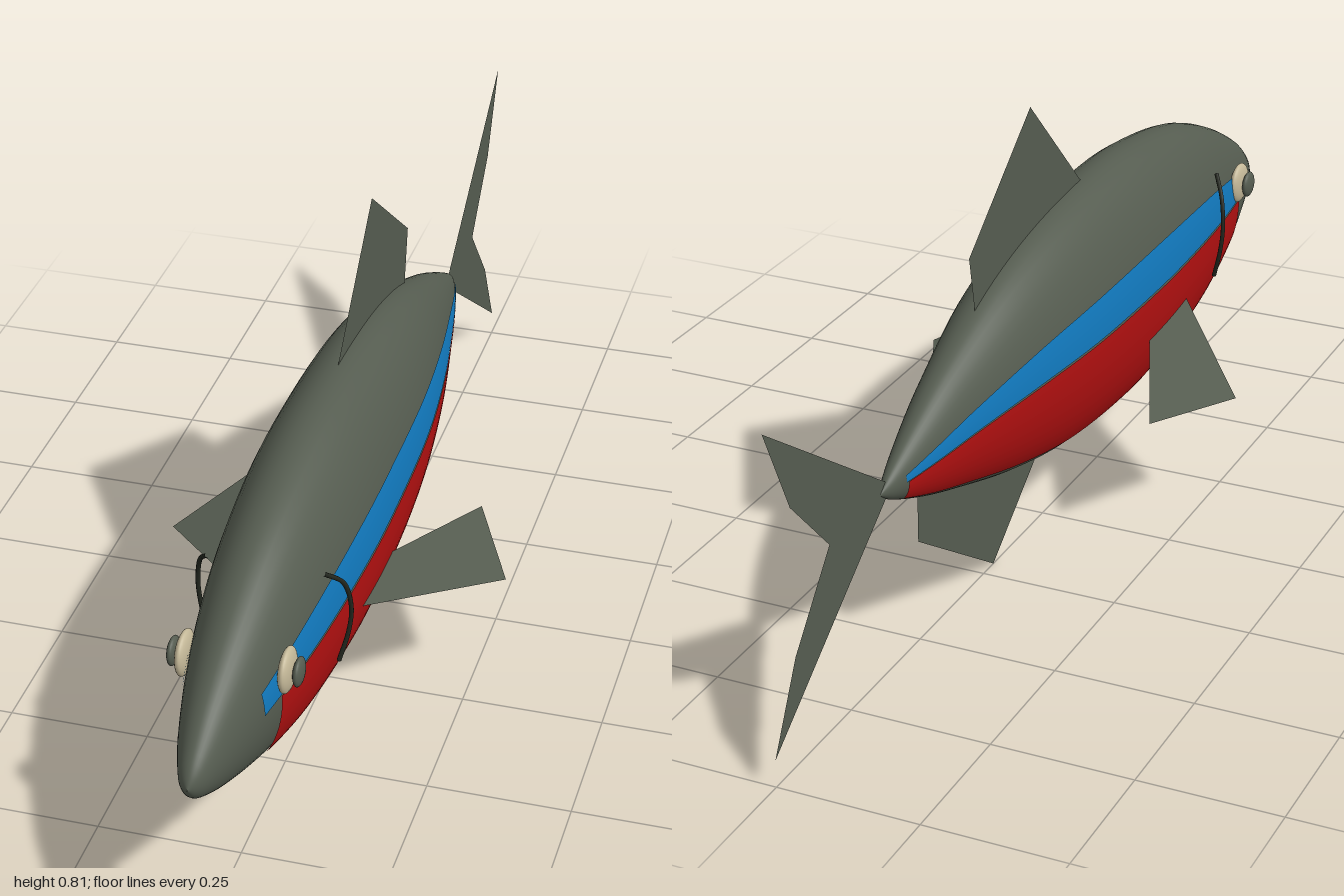
import * as THREE from 'three';
import { mergeVertices } from 'three/addons/utils/BufferGeometryUtils.js';

// Body cross-sections from nose to tail: z, top y, bottom y, half width
const SECTIONS = [
  [1, 0.327, 0.324, 0.001], [0.99, 0.345, 0.306, 0.013], [0.97, 0.367, 0.288, 0.025],
  [0.9, 0.42, 0.252, 0.048], [0.76, 0.494, 0.198, 0.079], [0.6, 0.554, 0.152, 0.102],
  [0.4, 0.59, 0.124, 0.117], [0.25, 0.598, 0.117, 0.12], [0, 0.583, 0.137, 0.115],
  [-0.2, 0.543, 0.178, 0.095], [-0.4, 0.466, 0.238, 0.06], [-0.5, 0.417, 0.272, 0.04],
  [-0.6, 0.361, 0.314, 0.015], [-0.63, 0.338, 0.334, 0.001],
];

// Smooth (Hermite) interpolation of the sections at a given z
function sectionAt(z) {
  const S = SECTIONS, last = S.length - 1;
  let i = 0;
  while (i < last - 1 && z < S[i + 1][0]) i++;
  const slope = (k, c) => {
    const a = S[Math.max(k - 1, 0)], b = S[Math.min(k + 1, last)];
    return (b[c] - a[c]) / (b[0] - a[0]);
  };
  const d = S[i + 1][0] - S[i][0], t = (z - S[i][0]) / d;
  const value = (c) =>
    (2 * t ** 3 - 3 * t ** 2 + 1) * S[i][c] + (t ** 3 - 2 * t ** 2 + t) * d * slope(i, c) +
    (3 * t ** 2 - 2 * t ** 3) * S[i + 1][c] + (t ** 3 - t ** 2) * d * slope(i + 1, c);
  const top = value(1), bottom = value(2);
  return { cy: (top + bottom) / 2, h: (top - bottom) / 2, w: value(3) };
}

// Skin over a range of z and of angle round the body, lifted by an offset
function skin(z0, z1, a0, a1, offset, nz, na) {
  const pos = [], index = [];
  for (let i = 0; i <= nz; i++) {
    const z = z0 + (z1 - z0) * (1 - Math.cos(Math.PI * i / nz)) / 2;
    const { cy, h, w } = sectionAt(z);
    for (let j = 0; j <= na; j++) {
      const a = THREE.MathUtils.degToRad(a0 + (a1 - a0) * j / na);
      pos.push((w + offset) * Math.cos(a), cy + (h + offset) * Math.sin(a), z);
      if (i < nz && j < na) {
        const p = i * (na + 1) + j, q = p + na + 1;
        index.push(p, q, p + 1, q, q + 1, p + 1);
      }
    }
  }
  let g = new THREE.BufferGeometry();
  g.setAttribute('position', new THREE.Float32BufferAttribute(pos, 3));
  g.setIndex(index);
  g = mergeVertices(g, 1e-5);
  g.computeVertexNormals();
  return g;
}

// Flat fin in the middle plane, outlined by [z, y] points
function finGeometry(points) {
  const shape = new THREE.Shape(points.map(([z, y]) => new THREE.Vector2(-z, y)));
  return new THREE.ShapeGeometry(shape).rotateY(Math.PI / 2);
}

export function createModel() {
  const model = new THREE.Group();
  model.name = 'fish';
  const material = (name, color, side = THREE.FrontSide) => {
    const m = new THREE.MeshStandardMaterial({ color, side });
    m.name = name;
    return m;
  };
  const grey = material('olive grey', 0x555c50, THREE.DoubleSide);
  const red = material('red', 0xb01010);
  const blue = material('blue', 0x1178bc);
  const cream = material('cream', 0xc4b898);
  const dark = material('dark grey', 0x23271f);
  const add = (name, geometry, mat) => {
    const mesh = new THREE.Mesh(geometry, mat);
    mesh.name = name;
    model.add(mesh);
    return mesh;
  };

  add('body', skin(1, -0.63, -90, 270, 0, 64, 48), grey);

  // Fins in the middle plane, rooted inside the body
  add('dorsalFin', finGeometry([
    [0.165, 0.595], [-0.05, 0.807], [-0.295, 0.62], [-0.275, 0.515], [-0.1, 0.54],
  ]), grey);
  add('analFin', finGeometry([
    [-0.01, 0.142], [-0.21, 0], [-0.5, 0.187], [-0.5, 0.285], [-0.2, 0.21],
  ]), grey);
  add('tailFin', finGeometry([
    [-0.59, 0.337], [-1, 0.613], [-0.925, 0.455], [-0.805, 0.332], [-0.925, 0.193], [-1, 0.048],
  ]), grey);

  for (const s of [1, -1]) {
    const label = s > 0 ? 'left' : 'right';
    const band = (z0, z1, a0, a1) => s > 0
      ? skin(z0, z1, a0, a1, 0.002, 48, 14)
      : skin(z0, z1, 180 - a1, 180 - a0, 0.002, 48, 14);

    // Coloured bands along the flank
    add(label + 'BlueStripe', band(0.82, -0.58, 3, 22.5), blue);
    add(label + 'RedFlank', band(0.765, -0.575, -57, 2), red);

    // Pectoral fin: front root, outer tip, rear tip, rear root
    const fin = new THREE.BufferGeometry();
    fin.setAttribute('position', new THREE.Float32BufferAttribute([
      s * 0.112, 0.285, 0.41, s * 0.305, 0.217, 0.175,
      s * 0.215, 0.232, -0.015, s * 0.112, 0.275, 0.23,
    ], 3));
    fin.setIndex(s > 0 ? [0, 1, 2, 0, 2, 3] : [0, 2, 1, 0, 3, 2]);
    fin.computeVertexNormals();
    add(label + 'PectoralFin', fin, grey);

    // Gill line
    const gill = new THREE.CatmullRomCurve3([
      new THREE.Vector3(s * 0.098, 0.47, 0.59), new THREE.Vector3(s * 0.122, 0.435, 0.558),
      new THREE.Vector3(s * 0.131, 0.38, 0.545), new THREE.Vector3(s * 0.126, 0.33, 0.545),
      new THREE.Vector3(s * 0.112, 0.275, 0.553),
    ]);
    add(label + 'Gill', new THREE.TubeGeometry(gill, 24, 0.004, 8), dark);

    // Eye with a raised pupil
    const eyeball = add(label + 'Eye', new THREE.SphereGeometry(0.039, 28, 20), cream);
    eyeball.scale.x = 0.32;
    eyeball.position.set(s * 0.085, 0.392, 0.75);
    const pupil = add(label + 'Pupil', new THREE.SphereGeometry(0.025, 24, 16), grey);
    pupil.scale.x = 0.35;
    pupil.position.set(s * 0.104, 0.392, 0.75);
  }
  return model;
}
